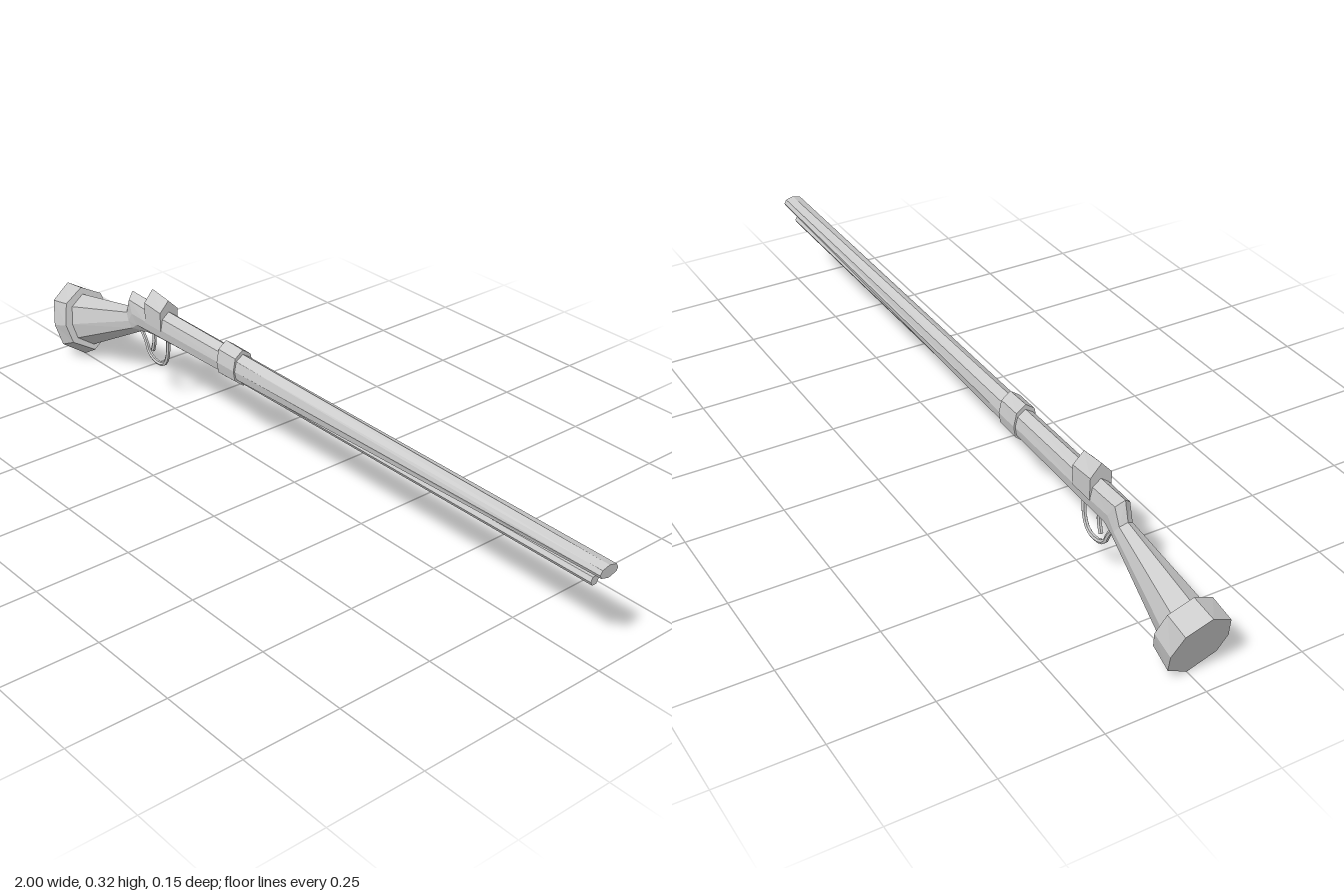
import * as THREE from 'three';

const material = new THREE.MeshStandardMaterial({ color: 0xcccccc, flatShading: true, side: THREE.DoubleSide });

// Half profiles from top to bottom: [z, height], both relative to the ring size
const OCTAGON = [[0, 1], [0.78, 0.65], [1, 0], [0.85, -0.57], [0, -1]];
const ROOF = [[0, 1], [1, 0.28], [1, -1], [0, -1]];

// Skins rings given as [topX, topY, bottomX, bottomY, halfWidth], running towards +x
function loft(rings, half = OCTAGON) {
  const profile = [...half, ...half.slice(1, -1).reverse().map(([z, v]) => [-z, v])];
  const n = profile.length;
  const pos = [], index = [];
  for (const [tx, ty, bx, by, w] of rings) {
    for (const [z, v] of profile) {
      const t = (v + 1) / 2;
      pos.push(bx + (tx - bx) * t, by + (ty - by) * t, z * w);
    }
  }
  for (let i = 0; i < rings.length - 1; i++) {
    for (let j = 0; j < n; j++) {
      const a = i * n + j, d = i * n + (j + 1) % n;
      index.push(a, d, d + n, a, d + n, a + n);
    }
  }
  const last = (rings.length - 1) * n;
  for (let j = 1; j < n - 1; j++) {
    index.push(0, j + 1, j, last, last + j, last + j + 1);
  }
  const g = new THREE.BufferGeometry();
  g.setAttribute('position', new THREE.Float32BufferAttribute(pos, 3));
  g.setIndex(index);
  g.computeVertexNormals();
  return g;
}

// Thin bent rod through [x, y] points
function rod(points, radius, segments) {
  const curve = new THREE.CatmullRomCurve3(points.map(([x, y]) => new THREE.Vector3(x, y, 0)));
  return new THREE.TubeGeometry(curve, segments, radius, 6);
}

export function createModel() {
  const group = new THREE.Group();
  const add = (name, geometry) => {
    const mesh = new THREE.Mesh(geometry, material);
    mesh.name = name;
    group.add(mesh);
    return mesh;
  };

  // Flared shoulder stock with its thicker end cap
  add('buttCap', loft([
    [-1, 0.198, -0.93, 0.003, 0.073],
    [-0.932, 0.206, -0.878, 0.034, 0.073],
  ]));
  add('stock', loft([
    [-0.94, 0.185, -0.89, 0.045, 0.054],
    [-0.69, 0.236, -0.65, 0.175, 0.022],
  ]));

  // Breech and long tapering barrel
  add('barrel', loft([
    [-0.69, 0.236, -0.65, 0.175, 0.022],
    [-0.676, 0.286, -0.62, 0.186, 0.025],
    [-0.6, 0.284, -0.58, 0.19, 0.027],
    [-0.2, 0.28, -0.2, 0.2, 0.027],
    [1, 0.268, 1, 0.237, 0.027],
  ]));
  add('barrelBand', loft([
    [-0.268, 0.294, -0.268, 0.19, 0.031],
    [-0.2, 0.292, -0.2, 0.192, 0.031],
  ]));

  // Lock housing with a ridged roof
  add('lock', loft([
    [-0.582, 0.324, -0.582, 0.235, 0.028],
    [-0.512, 0.315, -0.512, 0.235, 0.028],
  ], ROOF));

  // Ramrod under the barrel
  const ramrod = add('ramrod', new THREE.CylinderGeometry(0.012, 0.012, 1.215, 6));
  ramrod.rotation.z = Math.PI / 2;
  ramrod.position.set(0.3575, 0.212, 0);

  // Trigger and its guard
  add('triggerGuard', rod([
    [-0.645, 0.19], [-0.622, 0.16], [-0.608, 0.13], [-0.58, 0.115],
    [-0.545, 0.118], [-0.526, 0.145], [-0.519, 0.2],
  ], 0.006, 14));
  add('trigger', rod([[-0.583, 0.2], [-0.583, 0.17], [-0.592, 0.142]], 0.006, 5));

  return group;
}
